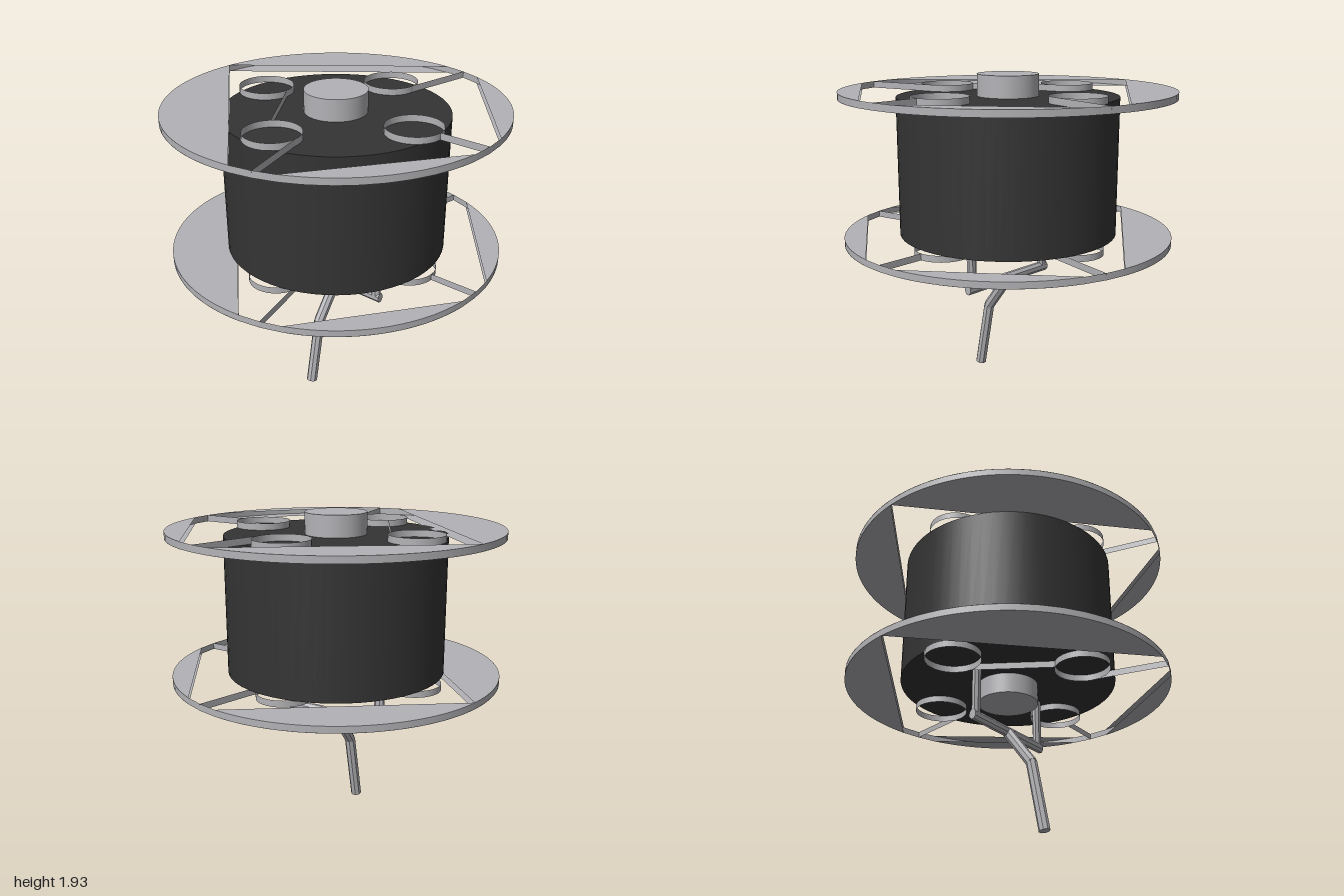
import * as THREE from 'three';

const steel = new THREE.MeshStandardMaterial({ color: 0xb3b3b7, side: THREE.DoubleSide });
steel.name = 'light grey';
const dark = new THREE.MeshStandardMaterial({ color: 0x343434 });
dark.name = 'charcoal';

const RIM = 1, THICK = 0.04, HOLE = 0.165, HOLE_AT = 0.54;
const rad = THREE.MathUtils.degToRad;

function add(parent, name, geometry, material = steel) {
  const mesh = new THREE.Mesh(geometry, material);
  mesh.name = name;
  parent.add(mesh);
  return mesh;
}

// Solid upright cylinder between two heights
function drum(parent, name, r, y0, y1, material) {
  const mesh = add(parent, name, new THREE.CylinderGeometry(r, r, y1 - y0, 64), material);
  mesh.position.y = (y0 + y1) / 2;
}

// Faceted straight rod; depth flattens it along its local z
function rod(parent, name, a, b, r, depth = 1) {
  const from = new THREE.Vector3(...a), to = new THREE.Vector3(...b);
  const dir = to.clone().sub(from);
  const geo = new THREE.CylinderGeometry(r, r, dir.length(), 8).rotateY(Math.PI / 8).toNonIndexed();
  geo.computeVertexNormals();
  const mesh = add(parent, name, geo);
  mesh.scale.z = depth;
  mesh.position.copy(from).add(to).multiplyScalar(0.5);
  mesh.quaternion.setFromUnitVectors(new THREE.Vector3(0, 1, 0), dir.normalize());
}

// Thin upright strip between two points on the ground plane
function strip(parent, name, [x0, z0], [x1, z1]) {
  const mesh = add(parent, name, new THREE.PlaneGeometry(Math.hypot(x1 - x0, z1 - z0), THICK));
  mesh.position.set((x0 + x1) / 2, 0, (z0 + z1) / 2);
  mesh.rotation.y = -Math.atan2(z1 - z0, x1 - x0);
}

function createFlange(y) {
  const flange = new THREE.Group();
  flange.name = 'flange';
  flange.position.y = y;
  add(flange, 'rim', new THREE.CylinderGeometry(RIM, RIM, THICK, 48, 1, true));

  // Plates cut off by a chord, angles measured from +x towards +z
  for (const [a0, a1] of [[7.5, 67.5], [82.5, 187.5], [187.5, 277.5], [292.5, 352.5]]) {
    const shape = new THREE.Shape();
    shape.absarc(0, 0, RIM, rad(a0), rad(a1), false);
    for (const side of [-1, 1]) {
      const plate = add(flange, 'rimPlate', new THREE.ShapeGeometry(shape, 24).rotateX(Math.PI / 2));
      plate.position.y = side * THICK / 2;
    }
  }

  // Four open rings around the hub
  for (let i = 0; i < 4; i++) {
    const a = i * Math.PI / 2;
    const ring = add(flange, 'ring', new THREE.CylinderGeometry(HOLE, HOLE, THICK, 32, 1, true));
    ring.position.set(HOLE_AT * Math.cos(a), 0, HOLE_AT * Math.sin(a));
  }

  // Thin strips tying the rings to the rim and to each other
  strip(flange, 'spoke', [HOLE_AT + HOLE, 0], [RIM, 0]);
  for (const s of [-1, 1]) strip(flange, 'spoke', [HOLE, s * HOLE_AT], [0.26, s * 0.966]);
  strip(flange, 'ringLink', [HOLE - HOLE_AT, 0], [-0.117, 0.423]);
  return flange;
}

export function createModel() {
  const model = new THREE.Group();
  model.name = 'spool';

  // Wound body and hub ends
  drum(model, 'windingBody', 0.665, 0.97, 1.8, dark);
  drum(model, 'upperHub', 0.185, 1.79, 1.93, steel);
  drum(model, 'lowerHub', 0.185, 0.845, 0.98, steel);
  model.add(createFlange(0.95), createFlange(1.82));

  // Yoke under the lower flange
  const yoke = new THREE.Group();
  yoke.name = 'yoke';
  model.add(yoke);
  for (const s of [-1, 1]) rod(yoke, 'yokeArm', [s * 0.315, 0.66, 0], [s * 0.315, 0.97, 0], 0.033, 0.76);
  rod(yoke, 'yokeBar', [-0.35, 0.66, 0], [0.35, 0.66, 0], 0.033, 0.76);

  // Bent lever reaching forward and down
  const lever = new THREE.Group();
  lever.name = 'lever';
  model.add(lever);
  rod(lever, 'leverUpper', [0, 0.655, 0], [0, 0.43, 0.17], 0.034);
  rod(lever, 'leverLower', [0, 0.43, 0.17], [0, 0.008, 0.252], 0.034);
  const elbow = add(lever, 'leverElbow', new THREE.SphereGeometry(0.032, 8, 6));
  elbow.position.set(0, 0.43, 0.17);
  return model;
}
